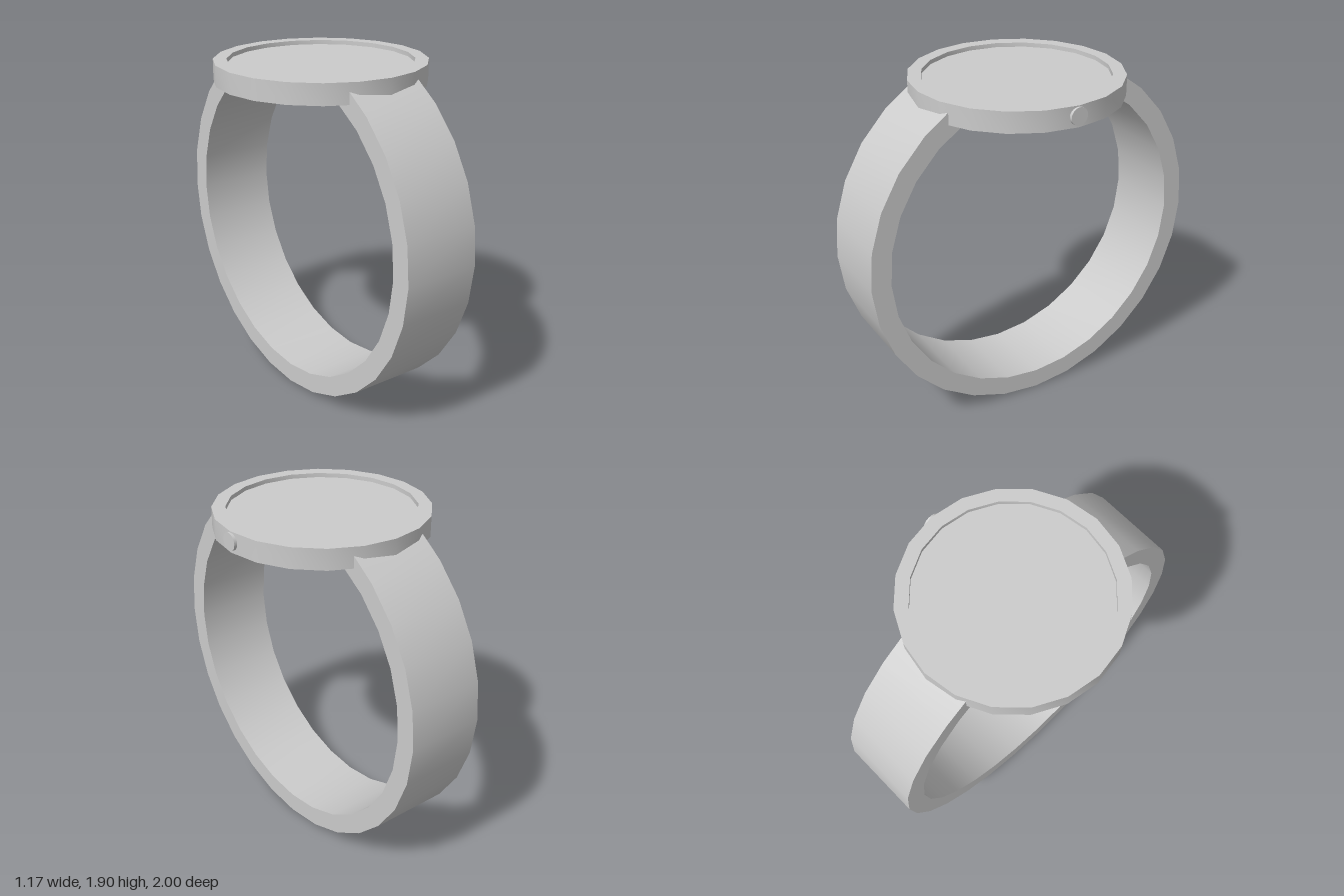
import * as THREE from 'three';
import { toCreasedNormals } from 'three/addons/utils/BufferGeometryUtils.js';

const CENTRE_X = -0.005;

function addPart(group, name, geometry) {
  const material = new THREE.MeshStandardMaterial({ color: 0xcccccc });
  const mesh = new THREE.Mesh(toCreasedNormals(geometry, 0.6), material);
  mesh.name = name;
  group.add(mesh);
  return mesh;
}

// Open arc in the (z, y) plane, measured from the bottom of the ring
function arc(radius, endAngle) {
  const points = [];
  for (let i = -12; i <= 12; i++) {
    const degrees = Math.abs(i) === 12 ? Math.sign(i) * endAngle : i * 12.6;
    const a = THREE.MathUtils.degToRad(degrees);
    points.push(new THREE.Vector2(radius * Math.sin(a), 1 - radius * Math.cos(a)));
  }
  return points;
}

export function createModel() {
  const group = new THREE.Group();
  group.name = 'wristwatch';

  // Strap: a thick open ring whose ends run into the case
  const outline = [...arc(1, 149), ...arc(0.888, 151.5).reverse()];
  const strap = new THREE.ExtrudeGeometry(new THREE.Shape(outline), { depth: 0.45, bevelEnabled: false });
  strap.translate(0, 0, -0.225).rotateY(-Math.PI / 2);
  addPart(group, 'strap', strap).position.x = CENTRE_X;

  // Case: 20-sided disc with a raised rim around the sunken dial
  const profile = [
    [0, 1.782], [0.58, 1.782], [0.58, 1.896], [0.507, 1.896], [0.507, 1.872],
  ].map(([r, y]) => new THREE.Vector2(r, y));
  addPart(group, 'case', new THREE.LatheGeometry(profile, 20)).position.x = CENTRE_X;

  // Dial: flat face inside the rim
  const dial = new THREE.CircleGeometry(0.507, 20).rotateX(-Math.PI / 2);
  addPart(group, 'dial', dial).position.set(CENTRE_X, 1.872, 0);

  // Crown: small button on the side of the case
  const crown = new THREE.CylinderGeometry(0.048, 0.048, 0.03, 20).rotateZ(-Math.PI / 2);
  addPart(group, 'crown', crown).position.set(0.57, 1.842, 0);

  return group;
}
